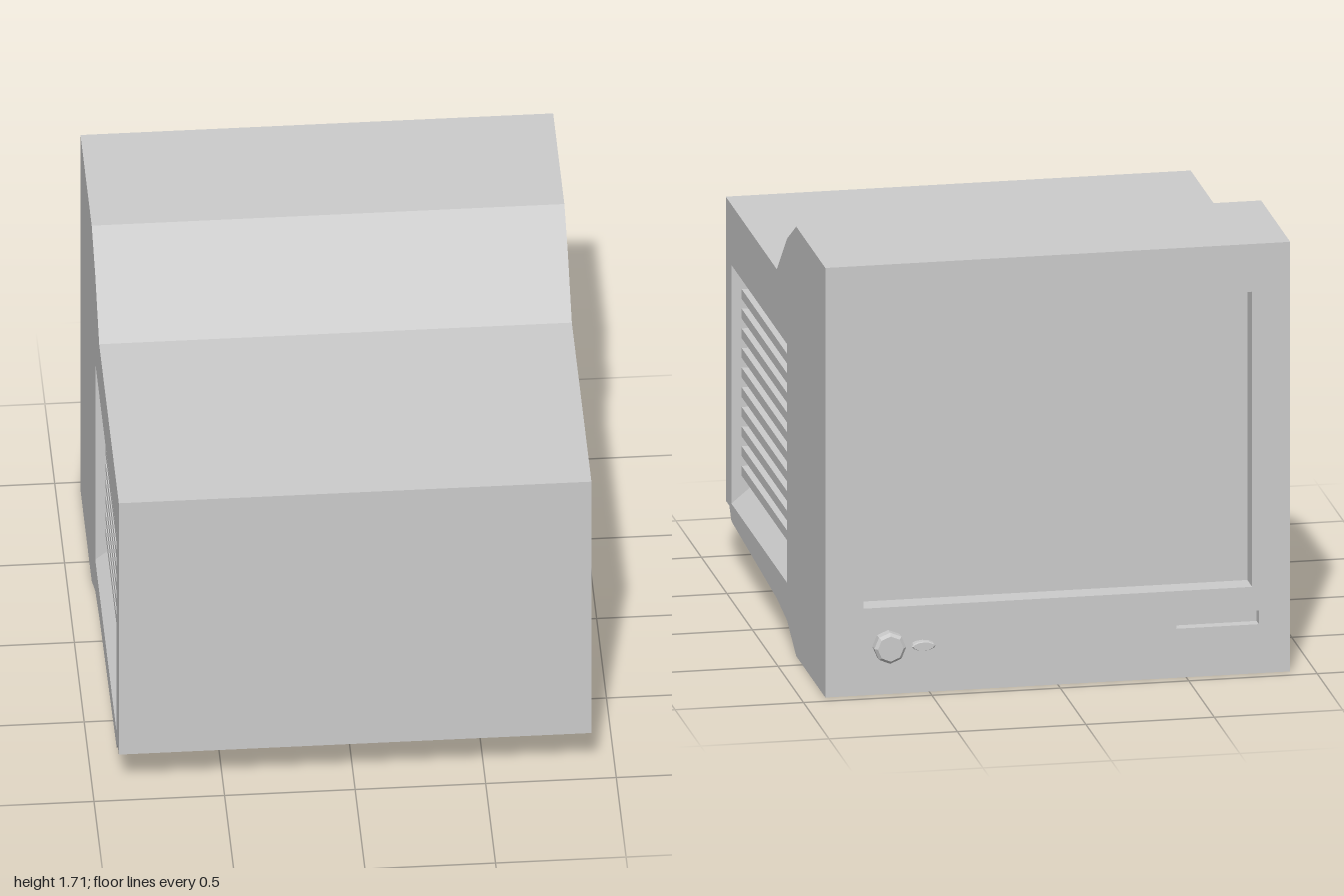
import * as THREE from 'three';

const material = new THREE.MeshStandardMaterial({ color: 0xcccccc, flatShading: true });
const W = 0.905; // half width of the case

// side profile as [z, y], starting at the lower edge of the screen face
const profile = [
  [-0.95, 0], [-0.38, 0], [-0.2, 0.09], [0, 0.12], [0.89, 0.17], [0.93, 0.22],
  [1, 0.22], [1, 1.43], [0, 1.43], [-0.2, 1.61], [-0.38, 1.71], [-0.95, 1.71],
];

function part(name, geometry) {
  const mesh = new THREE.Mesh(geometry, material);
  mesh.name = name;
  return mesh;
}

// flat-shaded surface from a list of four-cornered faces
function quads(list) {
  const positions = list.flatMap(([a, b, c, d]) => [a, b, c, a, c, d].flat());
  const geometry = new THREE.BufferGeometry();
  geometry.setAttribute('position', new THREE.Float32BufferAttribute(positions, 3));
  geometry.computeVertexNormals();
  return geometry;
}

const corners = ({ u0, u1, v0, v1 }) => [[u0, v0], [u1, v0], [u1, v1], [u0, v1]];
const toVectors = (points) => points.map(([u, v]) => new THREE.Vector2(u, v));

// sunken tray behind a rectangular opening; rise tilts its floor
function pocket({ depth, rise = 0, ...rect }) {
  const outer = corners(rect).map(([u, v]) => [u, v, 0]);
  const inner = corners({ ...rect, v0: rect.v0 + rise }).map(([u, v]) => [u, v, -depth]);
  const faces = [inner];
  for (let i = 0; i < 4; i++) {
    const j = (i + 1) % 4;
    faces.push([outer[i], outer[j], inner[j], inner[i]]);
  }
  return quads(faces);
}

// wall facing local +z with rectangular pockets
function wall(name, outline, pockets) {
  const group = new THREE.Group();
  group.name = name;
  const shape = new THREE.Shape(toVectors(outline));
  for (const p of pockets) shape.holes.push(new THREE.Path(toVectors(corners(p))));
  group.add(part(name + 'Panel', new THREE.ShapeGeometry(shape)));
  for (const p of pockets) group.add(part(p.name, pocket(p)));
  return group;
}

// side wall with its louvred vent; side is +1 or -1
function sideWall(side) {
  const ends = [-side * 0.89, side * 0.2].sort((a, b) => a - b);
  const vent = { name: 'ventRecess', u0: ends[0], u1: ends[1], v0: 0.24, v1: 1.19, depth: 0.085, rise: 0.07 };
  const group = wall(side > 0 ? 'leftSide' : 'rightSide', profile.map(([z, y]) => [-side * z, y]), [vent]);
  for (let i = 0; i < 11; i++) {
    const slat = part('ventSlat', new THREE.BoxGeometry(ends[1] - ends[0], 0.039, 0.045));
    slat.position.set((ends[0] + ends[1]) / 2, 1.15 - i * 0.0782, -0.0625);
    group.add(slat);
  }
  group.rotation.y = side * Math.PI / 2;
  group.position.x = side * W;
  return group;
}

// bevelled control pointing to -z
function control(name, radius, length, bevel, sides) {
  const points = toVectors([[radius, 0], [radius, length - bevel], [radius - bevel, length], [0, length]]);
  return part(name, new THREE.LatheGeometry(points, sides).rotateX(-Math.PI / 2));
}

export function createModel() {
  const model = new THREE.Group();
  model.name = 'monitor';

  // wrap-around shell: underside, flat rear and stepped top
  const strips = profile.slice(1).map(([z1, y1], i) => {
    const [z0, y0] = profile[i];
    return [[-W, y0, z0], [W, y0, z0], [W, y1, z1], [-W, y1, z1]];
  });
  model.add(part('caseShell', quads(strips)));

  model.add(sideWall(1), sideWall(-1));

  // screen face with the sunken screen and a small slot
  const bezel = wall('screenBezel', corners({ u0: -W, u1: W, v0: 0, v1: 1.71 }), [
    { name: 'screen', u0: -0.757, u1: 0.757, v0: 0.345, v1: 1.52, depth: 0.095 },
    { name: 'slot', u0: 0.463, u1: 0.783, v0: 0.195, v1: 0.25, depth: 0.045 },
  ]);
  bezel.rotation.y = Math.PI;
  bezel.position.z = -0.95;
  model.add(bezel);

  // round knob and flattened button
  const knob = control('knob', 0.062, 0.05, 0.012, 8);
  knob.position.set(0.66, 0.193, -0.95);
  const button = control('button', 0.046, 0.03, 0.006, 12);
  button.scale.y = 0.4;
  button.position.set(0.527, 0.19, -0.95);
  model.add(knob, button);

  return model;
}
